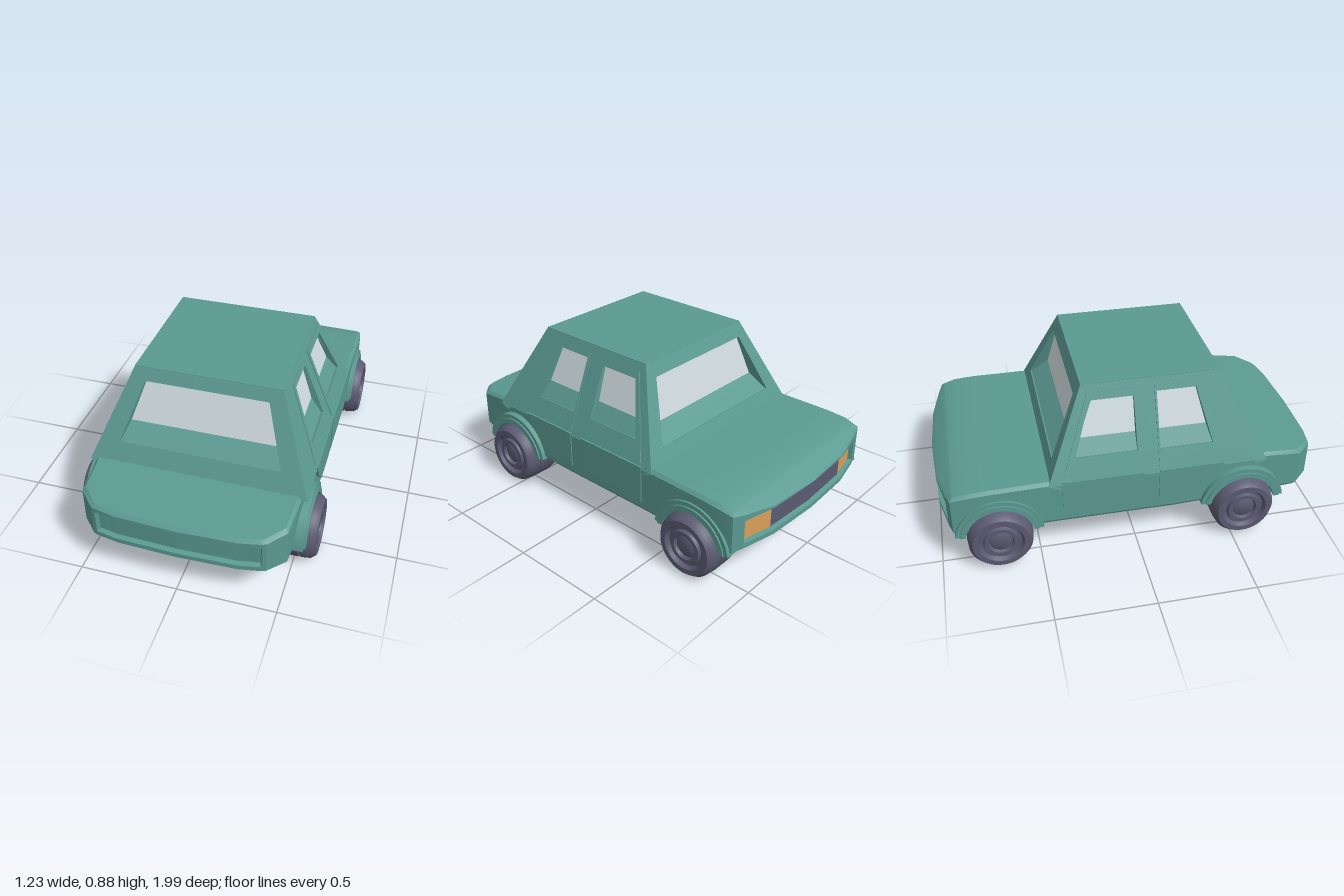
import * as THREE from 'three';
import { toCreasedNormals } from 'three/addons/utils/BufferGeometryUtils.js';

const mat = (name, color) => {
  const m = new THREE.MeshStandardMaterial({ color });
  m.name = name;
  return m;
};

// Non-indexed geometry from a list of four-cornered faces
function quads(list) {
  const pos = [];
  for (const [a, b, c, d] of list) pos.push(...a, ...b, ...c, ...a, ...c, ...d);
  const g = new THREE.BufferGeometry();
  g.setAttribute('position', new THREE.Float32BufferAttribute(pos, 3));
  g.computeVertexNormals();
  return g;
}

const path = (C, pts) => new C(pts.map(([x, y]) => new THREE.Vector2(x, y)));

export function createModel() {
  const paint = mat('teal paint', 0x5b9a92);
  const glass = mat('pale glass', 0xd2dee2);
  const rubber = mat('slate', 0x5b5a72);
  const amber = mat('amber', 0xd89f58);
  const car = new THREE.Group();
  car.name = 'car';

  const add = (name, geo, material, parent = car) => {
    const m = new THREE.Mesh(geo, material);
    m.name = name;
    parent.add(m);
    return m;
  };

  // Lower body: half plan outline (x, z) from the +z end to the -z end
  const half = [[0, 0.99], [0.3, 0.98], [0.4, 0.962], [0.41, 0.96], [0.43, 0.953], [0.51, 0.87],
    [0.53, 0.6], [0.55, 0.2], [0.55, -0.4], [0.555, -0.75], [0.555, -0.86], [0.545, -0.925],
    [0.48, -0.945], [0.47, -0.947], [0.3, -0.985], [0, -1]];
  const heights = [[-1, 0.385], [-0.925, 0.425], [-0.86, 0.44], [-0.7, 0.45], [0.66, 0.45], [0.99, 0.4]];
  const topY = (z) => {
    for (let i = 1; i < heights.length; i++) {
      const [z0, y0] = heights[i - 1], [z1, y1] = heights[i];
      if (z <= z1) return y0 + (y1 - y0) * (z - z0) / (z1 - z0);
    }
    return 0.4;
  };
  const dent = (x, z) => (z > 0.9 && x <= 0.4 ? -0.025 : z < -0.9 && x <= 0.47 ? 0.025 : 0);
  const flat = (y, k = 1, dented = false) =>
    half.map(([x, z]) => [x * k, y, z * k + (dented ? dent(x, z) : 0)]);
  const rings = [flat(0.2, 0.985), flat(0.215), flat(0.24), flat(0.245, 1, true), flat(0.36, 1, true), flat(0.365),
    half.map(([x, z]) => [x, topY(z) - 0.016, z]),
    half.map(([x, z]) => [x * 0.97, topY(z), z * 0.985])];
  const flip = ([x, y, z]) => [-x, y, z];
  const faces = [];
  for (let i = 0; i < half.length - 1; i++) {
    for (let r = 0; r < rings.length - 1; r++) {
      const q = [rings[r][i], rings[r][i + 1], rings[r + 1][i + 1], rings[r + 1][i]];
      faces.push(q, q.map(flip).reverse());
    }
    const t = rings[rings.length - 1], b = rings[0];
    faces.push([t[i], t[i + 1], flip(t[i + 1]), flip(t[i])]);
    faces.push([flip(b[i]), flip(b[i + 1]), b[i + 1], b[i]]);
  }
  add('lowerBody', toCreasedNormals(quads(faces), 0.45), paint);

  // Grille and lamps set in the recess of the -z end
  const strip = (x0, z0, x1, z1) => [[x0, 0.247, z0], [x1, 0.247, z1], [x1, 0.358, z1], [x0, 0.358, z0]];
  add('grille', quads([strip(0.3, -0.964, 0, -0.979), strip(0, -0.979, -0.3, -0.964)]), rubber);
  for (const s of [1, -1]) {
    const q = strip(0.465, -0.927, 0.3, -0.964);
    add(s > 0 ? 'leftLamp' : 'rightLamp', quads([s > 0 ? q : q.map(flip).reverse()]), amber);
  }

  // Raised panel in the recess of the +z end
  add('endPanel', quads([
    [[-0.385, 0.255, 0.945], [0, 0.255, 0.97], [0, 0.35, 0.97], [-0.385, 0.35, 0.945]],
    [[0, 0.255, 0.97], [0.385, 0.255, 0.945], [0.385, 0.35, 0.945], [0, 0.35, 0.97]]]), paint);

  // Cabin: four sloping walls, each drawn flat as (horizontal, height)
  const Y0 = 0.43, H = 0.45;
  const WX = 0.553, RX = 0.37, FZ = 0.67, RFZ = 0.45, BZ = -0.447, RBZ = -0.25;
  function wall(name, u, origin, lean) {
    const g = new THREE.Group();
    g.name = name;
    const U = new THREE.Vector3(...u);
    const V = new THREE.Vector3(lean[0], H, lean[1]);
    const L = V.length();
    V.normalize();
    g.matrix.makeBasis(U, V, U.clone().cross(V)).setPosition(...origin);
    g.matrix.decompose(g.position, g.quaternion, g.scale);
    car.add(g);
    const v = (y) => (y - Y0) * L / H;
    const local = (pts) => pts.map(([s, y]) => [s, v(y)]);
    return {
      // Flat plate with holes, reaching from depth below the surface to lift above it
      plate(part, outline, holes, depth, lift) {
        const shape = path(THREE.Shape, local(outline));
        shape.holes = holes.map((h) => path(THREE.Path, local(h)));
        const geo = new THREE.ExtrudeGeometry(shape, { depth: depth + lift, bevelEnabled: false });
        add(part, geo.translate(0, 0, -depth), paint, g);
      },
      // Glass leaning inside its opening, over a sloping sill
      window(part, [[a, y0], [b], [c, y1], [d]], ySill, dSill, dTop) {
        const t = (ySill - y0) / (y1 - y0);
        const l = a + (d - a) * t, r = b + (c - b) * t;
        const P = [l, v(ySill), -dSill], Q = [r, v(ySill), -dSill];
        add(part + 'Glass', quads([[P, Q, [c, v(y1), -dTop], [d, v(y1), -dTop]]]), glass, g);
        add(part + 'Sill', quads([[[a, v(y0), -0.008], [b, v(y0), -0.008], Q, P]]), paint, g);
      },
    };
  }
  const trapezoid = (b, y0, t, y1) => [[-b, y0], [b, y0], [t, y1], [-t, y1]];

  // End walls with their large windows
  const endWall = trapezoid(WX, Y0, RX, Y0 + H);
  const front = wall('frontWall', [1, 0, 0], [0, Y0, FZ], [0, RFZ - FZ]);
  const frontHole = trapezoid(0.41, 0.53, 0.31, 0.82);
  front.plate('frontFrame', endWall, [frontHole], 0.06, 0);
  front.window('front', frontHole, 0.63, 0.045, 0.02);
  const rear = wall('rearWall', [-1, 0, 0], [0, Y0, BZ], [0, RBZ - BZ]);
  const rearHole = trapezoid(0.43, 0.51, 0.33, 0.81);
  rear.plate('rearFrame', endWall, [rearHole], 0.075, 0);
  rear.window('rear', rearHole, 0.61, 0.06, 0.015);

  // Side walls, doors and side windows, given as (z, y)
  const sideWall = [[FZ, Y0], [BZ, Y0], [RBZ, Y0 + H], [RFZ, Y0 + H]];
  const doors = [
    { name: 'frontDoor', hole: [[0.39, 0.545], [0.12, 0.545], [0.12, 0.815], [0.32, 0.815]],
      upper: [[0.445, 0.46], [0.11, 0.46], [0.11, 0.84], [0.34, 0.84]],
      lower: [[0.445, 0.445], [0.41, 0.37], [0.29, 0.25], [0.11, 0.25], [0.11, 0.445]] },
    { name: 'rearDoor', hole: [[0.005, 0.55], [-0.305, 0.55], [-0.215, 0.805], [0.005, 0.805]],
      upper: [[0.03, 0.46], [-0.37, 0.46], [-0.225, 0.84], [0.03, 0.84]],
      lower: [[0.03, 0.445], [0.03, 0.25], [-0.38, 0.25], [-0.38, 0.445]] },
  ];
  for (const s of [1, -1]) {
    const side = s > 0 ? 'left' : 'right';
    const w = wall(side + 'Wall', [0, 0, -s], [s * WX, Y0, 0], [s * (RX - WX), 0]);
    const turn = (pts) => {
      const p = pts.map(([z, y]) => [-s * z, y]);
      return s > 0 ? p : [p[1], p[0], p[3], p[2]];
    };
    w.plate(side + 'Frame', turn(sideWall), doors.map((d) => turn(d.hole)), 0.05, 0);
    for (const d of doors) {
      w.plate(d.name + 'Upper', turn(d.upper), [turn(d.hole)], 0.01, 0.005);
      w.window(d.name, turn(d.hole), 0.635, 0.028, 0.012);
      const geo = new THREE.ExtrudeGeometry(path(THREE.Shape, d.lower.map(([z, y]) => [-z, y])),
        { depth: 0.03, bevelEnabled: false });
      geo.rotateY(Math.PI / 2).translate(s > 0 ? 0.526 : -0.556, 0, 0);
      add(d.name + 'Lower', geo, paint);
    }
  }

  // Roof
  const roof = new THREE.BoxGeometry(RX * 2, 0.03, RFZ - RBZ);
  add('roof', roof, paint).position.set(0, Y0 + H - 0.013, (RFZ + RBZ) / 2);

  // Wheels and arches
  const tyre = [[0, -0.115], [0.13, -0.115], [0.157, -0.095], [0.165, -0.06], [0.165, -0.052], [0.157, -0.046],
    [0.165, -0.04], [0.165, 0.03], [0.157, 0.036], [0.165, 0.042], [0.16, 0.09], [0.142, 0.113], [0.115, 0.113],
    [0.103, 0.092], [0.09, 0.092], [0.084, 0.108], [0.064, 0.108], [0.057, 0.092], [0.044, 0.1], [0, 0.1]];
  const wheelGeo = toCreasedNormals(
    new THREE.LatheGeometry(tyre.map(([r, y]) => new THREE.Vector2(r, y)), 40), 0.6);
  const ring = (outer, inner, depth) => {
    const low = (r) => Math.asin(0.03 / r);
    const shape = new THREE.Shape();
    shape.absarc(0, 0, outer, low(outer), Math.PI - low(outer), false);
    shape.absarc(0, 0, inner, Math.PI - low(inner), low(inner), true);
    return toCreasedNormals(new THREE.ExtrudeGeometry(shape, { depth, bevelEnabled: false, curveSegments: 24 })
      .rotateY(Math.PI / 2).translate(-depth / 2, 0, 0), 0.5);
  };
  const archGeo = ring(0.222, 0.172, 0.205);
  const lipGeo = ring(0.2, 0.172, 0.215);
  for (const s of [1, -1]) {
    for (const [end, z] of [['front', 0.555], ['rear', -0.7]]) {
      const wheel = add(end + 'Wheel', wheelGeo, rubber);
      wheel.position.set(s * 0.5, 0.165, z);
      wheel.rotation.z = -s * Math.PI / 2;
      add(end + 'Arch', archGeo, paint).position.set(s * 0.463, 0.165, z);
      add(end + 'ArchLip', lipGeo, paint).position.set(s * 0.466, 0.165, z);
    }
  }
  return car;
}
